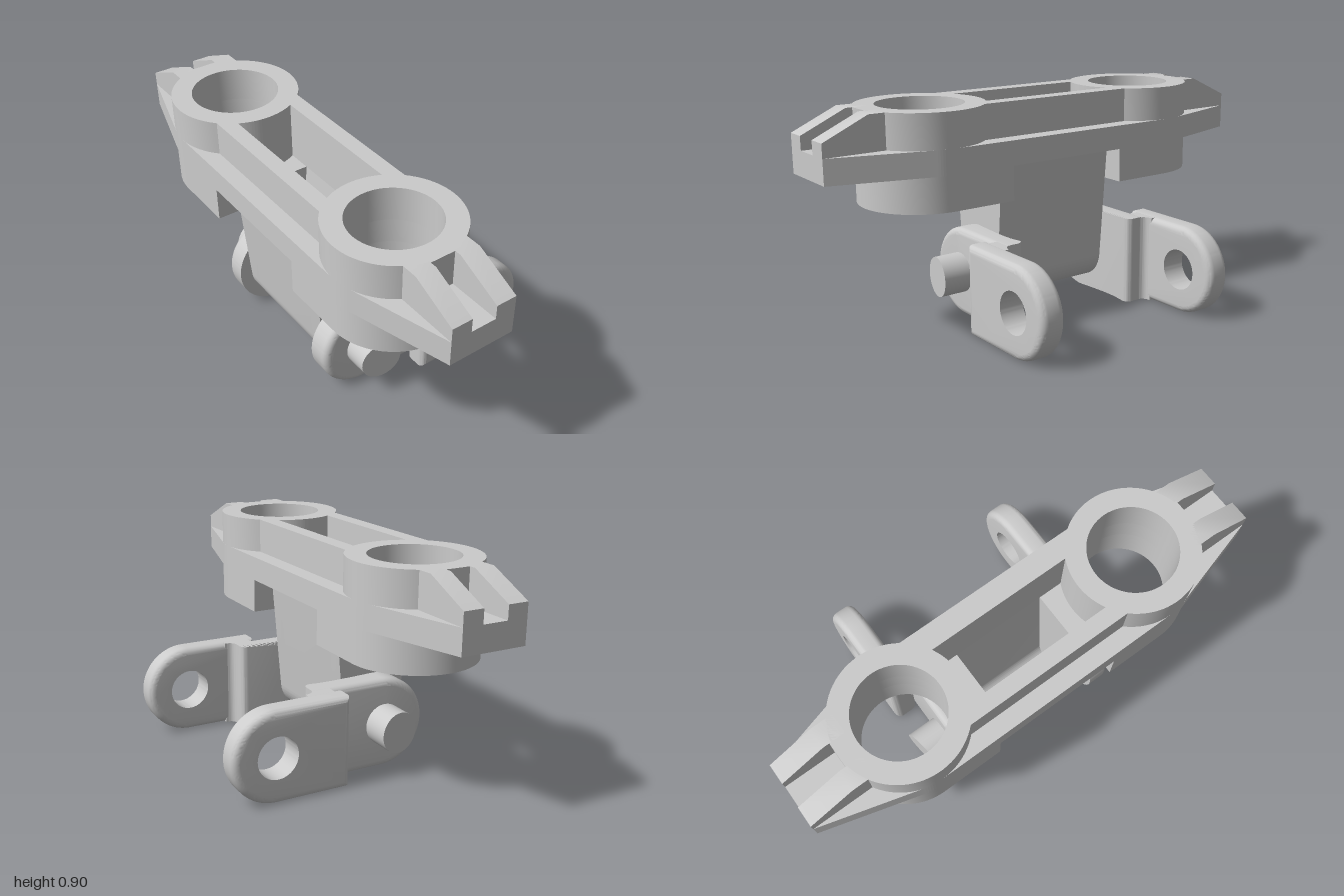
import * as THREE from 'three';
import { toCreasedNormals } from 'three/addons/utils/BufferGeometryUtils.js';

const PI = Math.PI;
const AXIS_Z = 0.2275, PIN_Y = 0.185;         // hinge axis
const BOSS_X = 0.53, BOSS_R = 0.257, BORE_R = 0.175;
const END_HALF = 0.1335;                      // half width of the bar's narrow ends
const material = new THREE.MeshStandardMaterial({ color: 0xcccccc });

function add(parent, name, geometry) {
  const mesh = new THREE.Mesh(toCreasedNormals(geometry, 0.5), material);
  mesh.name = name;
  parent.add(mesh);
}

const extrude = (shape, depth, extra = {}) =>
  new THREE.ExtrudeGeometry(shape, { depth, bevelEnabled: false, curveSegments: 32, ...extra });

// Plan shape (x, -z) raised from y0 to y1
const slab = (shape, y0, y1) => extrude(shape, y1 - y0).rotateX(-PI / 2).translate(0, y0, 0);

// Side shape (-z, y) extruded from x0 to x1
const across = (shape, x0, x1) => extrude(shape, x1 - x0).rotateY(PI / 2).translate(x0, 0, 0);

function circle(x, y, r) {
  const p = new THREE.Path();
  p.absarc(x, y, r, 0, 2 * PI, true);
  return p;
}

// Window between the two bosses, its ends following the boss walls
function windowHole() {
  const a = Math.asin(0.12 / BOSS_R), p = new THREE.Path();
  p.absarc(BOSS_X, 0, BOSS_R, PI - a, PI + a);
  p.absarc(-BOSS_X, 0, BOSS_R, -a, a);
  p.closePath();
  return p;
}

const plateHoles = () => [circle(BOSS_X, 0, BORE_R), circle(-BOSS_X, 0, BORE_R), windowHole()];

// Tapered U section around the hinge axis, open at the top
function uPoints(r, top) {
  const t = 0.089, arc = new THREE.Path();
  const half = r / Math.cos(t) + Math.tan(t) * (top - PIN_Y);
  arc.absarc(-AXIS_Z, PIN_Y, r, PI + t, 2 * PI - t);
  return [
    new THREE.Vector2(-AXIS_Z - half, top),
    ...arc.getPoints(32),
    new THREE.Vector2(-AXIS_Z + half, top),
  ];
}

// Link plate with one round end at zRound and a straight end at zEnd
function linkPlate(zRound, zEnd, x0, x1, { hole = false, flatInside = false }) {
  const r = 0.185, b = 0.028, s = new THREE.Shape();
  const dir = zRound > zEnd ? -1 : 1;          // round end direction in shape space
  const start = dir > 0 ? -PI / 2 : PI / 2;
  s.absarc(-zRound, PIN_Y, r, start, start + PI);
  s.lineTo(-zEnd, PIN_Y + dir * r);
  s.lineTo(-zEnd, PIN_Y - dir * r);
  s.closePath();
  const holeR = 0.085;
  if (hole) s.holes.push(circle(-zRound, PIN_Y, holeR));
  const g = extrude(s, x1 - x0 - 2 * b, {
    bevelEnabled: true, bevelThickness: b, bevelSize: b, bevelOffset: -b, bevelSegments: 5,
  });
  g.translate(0, 0, b);
  const pos = g.attributes.position;
  for (let i = 0; i < pos.count; i++) {
    const dx = pos.getX(i) + zRound, dy = pos.getY(i) - PIN_Y, d = Math.hypot(dx, dy);
    // keep the bore straight, without a rounded rim
    if (hole && d < holeR + b + 0.005) {
      pos.setXY(i, -zRound + dx * holeR / d, PIN_Y + dy * holeR / d);
    }
    // keep the inner face flat out to its rim, rounding only the straight end
    if (flatInside && pos.getZ(i) < b + 1e-4) {
      if (Math.abs(pos.getX(i) + zEnd) < b + 1e-3) pos.setY(i, PIN_Y + Math.sign(dy) * r);
      else pos.setZ(i, 0);
    }
  }
  return g.rotateY(PI / 2).translate(x0, 0, 0);
}

function createLink() {
  const link = new THREE.Group();
  link.name = 'sideLink';
  add(link, 'linkFrontPlate', linkPlate(AXIS_Z, -0.09, 0.27, 0.366, { flatInside: true }));
  add(link, 'linkRearPlate', linkPlate(-0.3, 0.01, 0.365, 0.47, { hole: true }));

  // Filleted joint between the two offset plates
  const joint = new THREE.Shape();
  joint.moveTo(0.32, 0.015);
  joint.lineTo(0.44, 0.015);
  joint.lineTo(0.44, 0.13);
  joint.lineTo(0.366, 0.13);
  joint.quadraticCurveTo(0.366, 0.089, 0.325, 0.089);
  joint.closePath();
  add(link, 'linkJoint', slab(joint, 0.001, 0.369));

  // Pin with a slanted outer end
  const pin = new THREE.CylinderGeometry(0.083, 0.083, 0.27, 40).rotateZ(PI / 2).translate(0.342, PIN_Y, AXIS_Z);
  const pos = pin.attributes.position;
  for (let i = 0; i < pos.count; i++) {
    if (pos.getX(i) > 0.34) pos.setX(i, pos.getX(i) + (AXIS_Z - pos.getZ(i)) * 0.15);
  }
  add(link, 'hingePin', pin);
  return link;
}

// Details that repeat at each end of the top bar
function createBarEnd() {
  const end = new THREE.Group();
  end.name = 'barEnd';

  // Lower boss pad, cut off square beside the bracket
  const pad = new THREE.Shape();
  pad.moveTo(0.27, BOSS_R);
  pad.lineTo(0.27, -BOSS_R);
  pad.absarc(BOSS_X, 0, BOSS_R, -PI / 2, PI / 2);
  pad.closePath();
  pad.holes.push(circle(BOSS_X, 0, BORE_R));
  add(end, 'lowerPad', slab(pad, 0.525, 0.665));

  // Sloped prongs on both sides of the end slot
  const prong = new THREE.Shape([[0.72, 0.765], [1, 0.765], [1, 0.82], [0.815, 0.905], [0.72, 0.905]]
    .map(([x, y]) => new THREE.Vector2(x, y)));
  const slotHalf = 0.051, width = END_HALF - slotHalf;
  for (const z of [-END_HALF, slotHalf]) add(end, 'prong', extrude(prong, width).translate(0, 0, z));
  add(end, 'slotBack', new THREE.BoxGeometry(0.068, 0.14, 0.12).translate(0.754, 0.835, 0));
  return end;
}

function createBar() {
  const bar = new THREE.Group();
  bar.name = 'topBar';
  bar.position.z = AXIS_Z;

  // Flange: straight sides, tapering tangentially to the narrow ends
  const reach = 1 - BOSS_X;
  const t = Math.atan2(END_HALF, reach) + Math.acos(BOSS_R / Math.hypot(reach, END_HALF));
  const flange = new THREE.Shape();
  flange.moveTo(1, -END_HALF);
  flange.lineTo(1, END_HALF);
  flange.absarc(BOSS_X, 0, BOSS_R, t, PI / 2);
  flange.absarc(-BOSS_X, 0, BOSS_R, PI / 2, PI - t);
  flange.lineTo(-1, END_HALF);
  flange.lineTo(-1, -END_HALF);
  flange.absarc(-BOSS_X, 0, BOSS_R, PI + t, 1.5 * PI);
  flange.absarc(BOSS_X, 0, BOSS_R, 1.5 * PI, 2 * PI - t);
  flange.closePath();
  flange.holes = plateHoles();
  add(bar, 'flange', slab(flange, 0.665, 0.765));

  // Raised bosses joined by two rails
  const a = Math.asin(0.186 / BOSS_R);
  const top = new THREE.Shape();
  top.absarc(BOSS_X, 0, BOSS_R, -PI + a, PI - a);
  top.absarc(-BOSS_X, 0, BOSS_R, a, 2 * PI - a);
  top.closePath();
  top.holes = plateHoles();
  add(bar, 'bossesAndRails', slab(top, 0.765, 0.905));

  for (const turn of [0, PI]) {
    const end = createBarEnd();
    end.rotation.y = turn;
    bar.add(end);
  }
  return bar;
}

function createBracket() {
  const bracket = new THREE.Group();
  bracket.name = 'bracket';
  const outer = uPoints(0.13, 0.665), inner = uPoints(0.078, 0.665);
  add(bracket, 'bracketShell', across(new THREE.Shape([...outer, ...inner.reverse()]), -0.2, 0.2));
  for (const x of [-0.27, 0.2]) add(bracket, 'bracketEndWall', across(new THREE.Shape(outer), x, x + 0.07));
  return bracket;
}

export function createModel() {
  const model = new THREE.Group();
  model.name = 'hingedBarAssembly';
  model.add(createBar(), createBracket());

  // The link is symmetric about the hinge height, so a half turn gives the other side
  const left = createLink(), right = createLink();
  right.rotation.z = PI;
  right.position.y = 2 * PIN_Y;
  model.add(left, right);
  return model;
}
